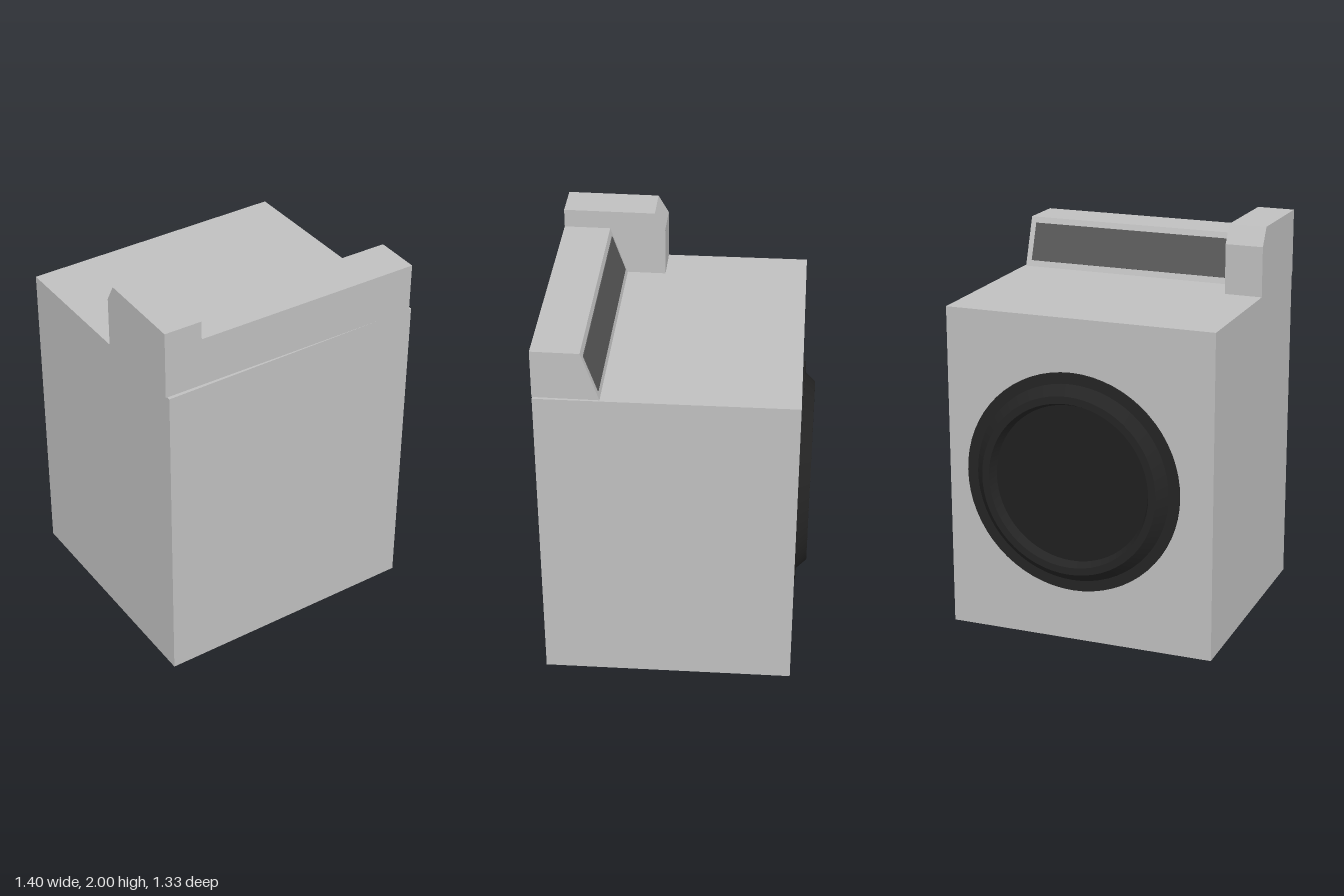
import * as THREE from 'three';
import { toCreasedNormals } from 'three/addons/utils/BufferGeometryUtils.js';

function material(name, color) {
  const m = new THREE.MeshStandardMaterial({ color });
  m.name = name;
  return m;
}

// Straight-sided prism from a list of 2D corners
function prism(corners, depth) {
  const shape = new THREE.Shape(corners.map(([a, b]) => new THREE.Vector2(a, b)));
  return new THREE.ExtrudeGeometry(shape, { depth, bevelEnabled: false });
}

// Side profile of [z, y] corners, extruded from x0 to x1
function sideProfile(corners, x0, x1) {
  return prism(corners, x1 - x0).rotateY(-Math.PI / 2).translate(x1, 0, 0);
}

// Ring profile of [radius, height] points, turned to point along -z
function turned(points) {
  const lathe = new THREE.LatheGeometry(points.map(([r, h]) => new THREE.Vector2(r, h)), 64);
  return toCreasedNormals(lathe.rotateX(-Math.PI / 2), 0.5);
}

export function createModel() {
  const casing = material('casing grey', 0xc0c0c0);
  const panelDark = material('panel dark grey', 0x585858);
  const rimBlack = material('door rim black', 0x242424);
  const glassBlack = material('door glass black', 0x202020);

  const group = new THREE.Group();
  group.name = 'washingMachine';
  const add = (name, geometry, mat, parent = group) => {
    const mesh = new THREE.Mesh(geometry, mat);
    mesh.name = name;
    parent.add(mesh);
    return mesh;
  };

  // Cabinet, turned very slightly about the vertical
  const footprint = [[-0.7, -0.59], [0.68, -0.611], [0.7, 0.64], [-0.68, 0.661]];
  const cabinet = prism(footprint.map(([x, z]) => [x, -z]), 1.655).rotateX(-Math.PI / 2);
  add('cabinet', cabinet, casing);

  // Console with a sloping face, and the taller block at its end
  add('console', sideProfile(
    [[0.643, 1.655], [0.643, 1.905], [0.41, 1.905], [0.325, 1.655]], -0.495, 0.685), casing);
  add('consoleEndBlock', sideProfile(
    [[0.643, 1.655], [0.643, 2], [0.182, 2], [0.13, 1.908], [0.13, 1.655]], -0.688, -0.495), casing);

  // Dark control panel lying on the slope
  const panel = add('controlPanel', new THREE.BoxGeometry(1.12, 0.2, 0.008), panelDark);
  panel.position.set(0.095, 1.78, 0.3675);
  panel.rotation.x = Math.atan2(0.085, 0.25);

  // Round door: flat flange, raised rim and recessed glass
  const door = new THREE.Group();
  door.name = 'door';
  door.position.set(0.022, 0.828, -0.613);
  group.add(door);
  add('doorFlange', turned([[0.56, -0.009], [0.56, 0], [0.4, 0]]), rimBlack, door);
  add('doorRim', turned([[0.505, 0], [0.457, 0.052], [0.42, 0.052], [0.4, 0.003]]), rimBlack, door);
  add('doorGlass', turned([[0.405, 0.004], [0, 0.004]]), glassBlack, door);

  return group;
}
